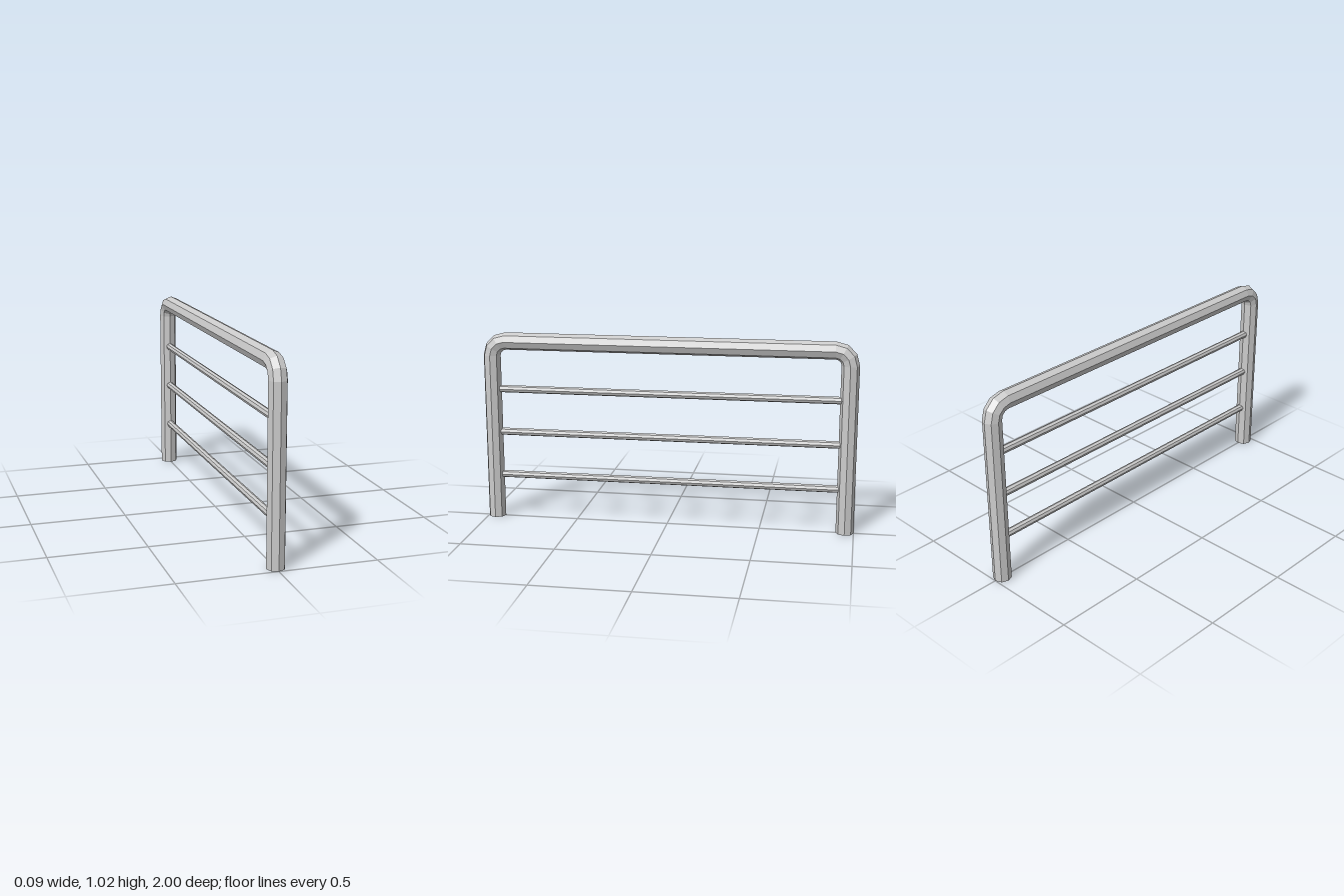
import * as THREE from 'three';

const SIDES = 8;
const material = new THREE.MeshStandardMaterial({ color: 0xcccccc, flatShading: true });

// Octagonal tube swept along rings { y, z, angle }, where angle turns the
// outward normal from +z (0) through +y (PI / 2) to -z (PI).
function sweepTube(rings, radius) {
  const pos = [], index = [];
  for (const { y, z, angle } of rings) {
    for (let j = 0; j < SIDES; j++) {
      const a = (j / SIDES) * Math.PI * 2;
      const out = Math.cos(a) * radius;
      pos.push(Math.sin(a) * radius, y + out * Math.sin(angle), z + out * Math.cos(angle));
    }
  }
  const last = (rings.length - 1) * SIDES;
  for (let i = 0; i < last; i += SIDES) {
    for (let j = 0; j < SIDES; j++) {
      const k = (j + 1) % SIDES;
      index.push(i + j, i + k, i + SIDES + k, i + j, i + SIDES + k, i + SIDES + j);
    }
  }
  // Closed feet
  for (let j = 1; j < SIDES - 1; j++) {
    index.push(0, j + 1, j, last, last + j, last + j + 1);
  }
  const geo = new THREE.BufferGeometry();
  geo.setAttribute('position', new THREE.Float32BufferAttribute(pos, 3));
  geo.setIndex(index);
  geo.computeVertexNormals();
  return geo;
}

export function createModel() {
  const group = new THREE.Group();
  const radius = 0.047, postZ = 0.953, railY = 0.978;
  const bend = 0.077, bendSteps = 3;

  // Outer frame: post, bend, top rail, bend, post in one tube
  const rings = [{ y: 0, z: postZ, angle: 0 }];
  for (const side of [1, -1]) {
    for (let i = 0; i <= bendSteps; i++) {
      const angle = (i / bendSteps + (side < 0 ? 1 : 0)) * Math.PI / 2;
      rings.push({
        y: railY - bend + Math.sin(angle) * bend,
        z: side * (postZ - bend) + Math.cos(angle) * bend,
        angle,
      });
    }
  }
  rings.push({ y: 0, z: -postZ, angle: Math.PI });
  const frame = new THREE.Mesh(sweepTube(rings, radius), material);
  frame.name = 'frame';
  group.add(frame);

  // Thin crossbars running between the posts
  const barGeo = new THREE.CylinderGeometry(0.02, 0.02, postZ * 2 - 0.04, SIDES);
  barGeo.rotateX(Math.PI / 2);
  [0.24, 0.48, 0.717].forEach((y, i) => {
    const bar = new THREE.Mesh(barGeo, material);
    bar.name = `crossbar${i + 1}`;
    bar.position.y = y;
    group.add(bar);
  });

  return group;
}
